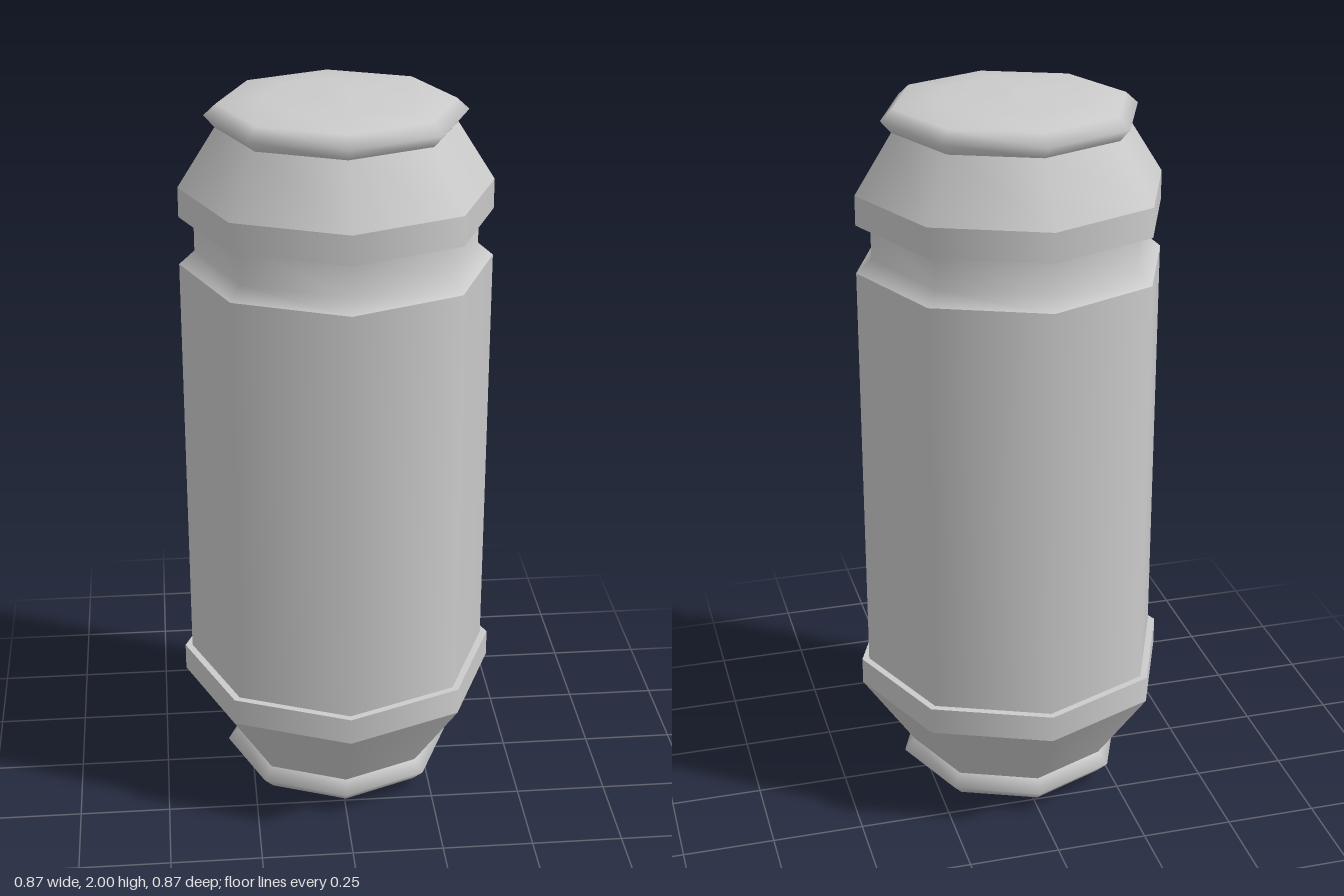
import * as THREE from 'three';

const SIDES = 8;
const material = new THREE.MeshStandardMaterial({ color: 0xcccccc });

// Eight-sided ring turned from a bottom-to-top profile of [radius, y]; smooth within the profile
function turned(name, profile) {
  const points = profile.map(([r, y]) => new THREE.Vector2(r, y));
  const mesh = new THREE.Mesh(new THREE.LatheGeometry(points, SIDES), material);
  mesh.name = name;
  return mesh;
}

// Part whose profile corners stay sharp: one turned band per profile segment
function creased(name, profile) {
  const group = new THREE.Group();
  group.name = name;
  for (let i = 0; i < profile.length - 1; i++) {
    group.add(turned(`${name}Band${i + 1}`, [profile[i], profile[i + 1]]));
  }
  return group;
}

export function createModel() {
  const model = new THREE.Group();
  model.name = 'canister';

  model.add(
    // Soft-edged cap under the base
    turned('bottomCap', [[0, 0], [0.18, 0.014], [0.285, 0.03], [0.32, 0.065], [0.29, 0.098]]),
    // Tapered foot ending in a wider rim
    creased('baseRim', [[0.29, 0.098], [0.437, 0.315], [0.437, 0.39], [0.417, 0.39]]),
    // Long straight body
    creased('body', [[0.417, 0.39], [0.417, 1.55]]),
    // Recessed neck with a sloped shoulder
    turned('neck', [[0.417, 1.55], [0.376, 1.585], [0.376, 1.68]]),
    // Overhanging collar and sloped lid
    creased('lid', [[0.376, 1.68], [0.415, 1.68], [0.415, 1.76], [0.315, 1.918]]),
    // Soft-edged cap on top
    turned('topCap', [[0.315, 1.918], [0.343, 1.95], [0.31, 1.98], [0.19, 1.993], [0, 2]])
  );

  return model;
}
